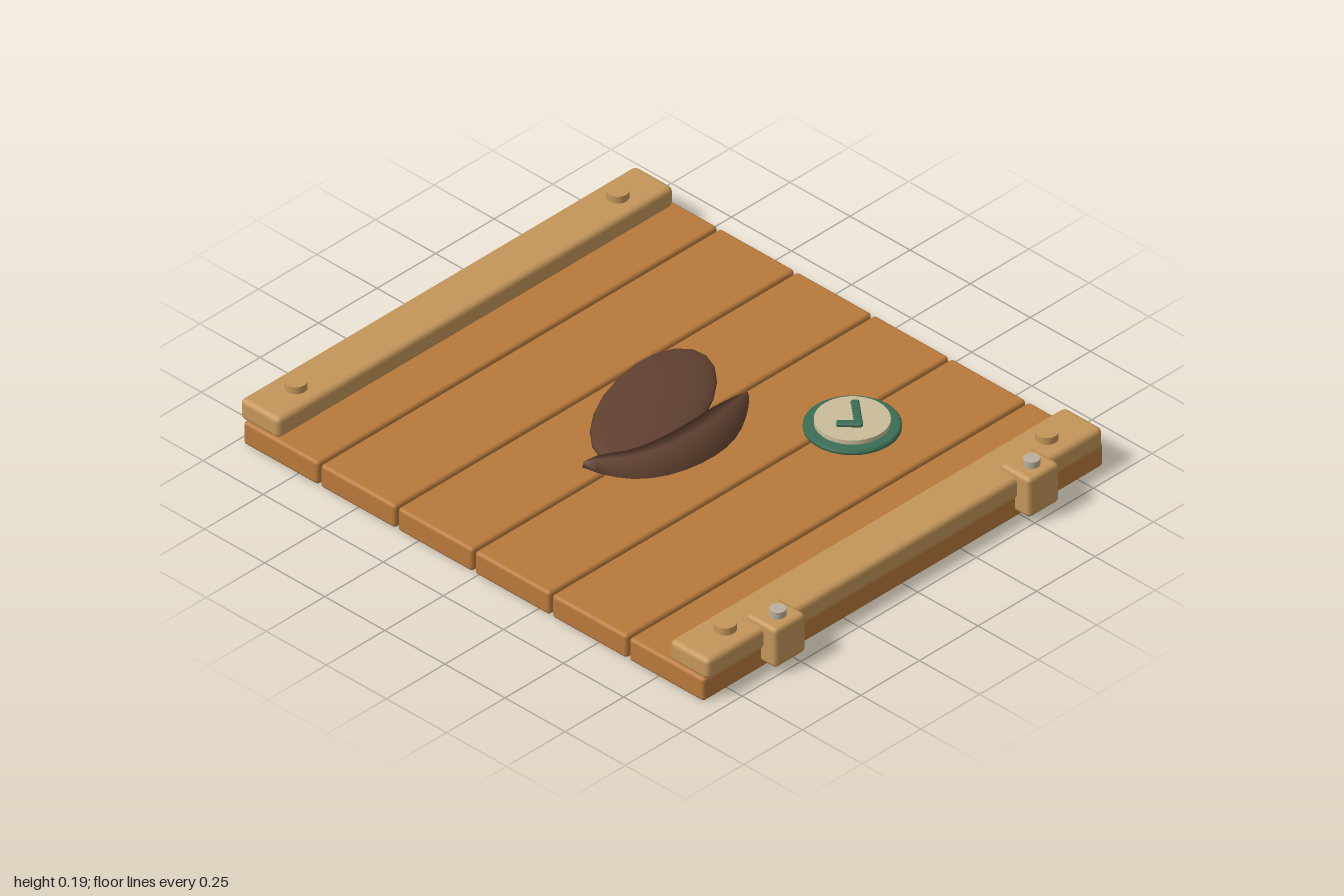
import * as THREE from 'three';
import { RoundedBoxGeometry } from 'three/addons/geometries/RoundedBoxGeometry.js';

const paint = (name, color) => {
  const m = new THREE.MeshStandardMaterial({ color });
  m.name = name;
  return m;
};

export function createModel() {
  const model = new THREE.Group();
  model.name = 'plankBoard';

  const plankWood = paint('plank wood', 0xb8793b);
  const battenWood = paint('batten wood', 0xc4965a);
  const metal = paint('pale metal', 0xb9b09c);
  const green = paint('badge green', 0x3a6e54);
  const cream = paint('badge cream', 0xcbbd9c);
  const brown = paint('dark brown', 0x5f4030);

  const add = (name, geometry, material, x = 0, y = 0, z = 0, parent = model) => {
    const mesh = new THREE.Mesh(geometry, material);
    mesh.name = name;
    mesh.position.set(x, y, z);
    parent.add(mesh);
    return mesh;
  };
  const box = (w, h, d, r) => new RoundedBoxGeometry(w, h, d, 2, r);
  const disc = (r, h, n = 24) => new THREE.CylinderGeometry(r, r, h, n);

  // Six planks with narrow open gaps
  const plank = box(1.71, 0.083, 0.311, 0.012);
  for (let i = 0; i < 6; i++) add('plank', plank, plankWood, 0, 0.0415, 0.785 - i * 0.321);

  // Battens across both ends, each with two pegs
  const batten = box(1.69, 0.075, 0.163, 0.018);
  for (const z of [0.868, -0.918]) {
    add('batten', batten, battenWood, 0, 0.1115, z);
    for (const s of [-1, 1]) add('peg', disc(0.035, 0.04), battenWood, s * 0.687, 0.154, z);
  }

  // Front clips with metal pins
  for (const s of [-1, 1]) {
    add('clip', box(0.132, 0.142, 0.126, 0.015), battenWood, s * 0.542, 0.095, 0.937);
    add('clipPin', disc(0.026, 0.03), metal, s * 0.542, 0.174, 0.945);
  }

  // Flat oval pod
  const pod = add('pod', new THREE.SphereGeometry(1, 20, 12), brown, 0.01, 0.123, -0.11);
  pod.scale.set(0.321, 0.03, 0.161);
  pod.rotation.y = 0.4;

  // Folded flap: four-point sections lofted between an outer and an inner curve
  const curve = (pts) => new THREE.CatmullRomCurve3(pts.map(([x, z]) => new THREE.Vector3(x, 0, z)));
  const outer = curve([[-0.365, -0.04], [-0.35, 0.03], [-0.3, 0.115], [-0.22, 0.17], [-0.12, 0.198],
    [0, 0.198], [0.1, 0.165], [0.2, 0.1], [0.245, 0.06]]);
  const inner = curve([[-0.35, -0.048], [-0.3, -0.035], [-0.22, 0.02], [-0.12, 0.045], [0, 0.05],
    [0.1, 0.042], [0.2, 0.043], [0.243, 0.05]]);
  const stations = 14, positions = [], index = [];
  for (let i = 0; i <= stations; i++) {
    const t = i / stations, swell = Math.sin(Math.PI * t);
    const o = outer.getPointAt(t), n = inner.getPointAt(t);
    const ridge = o.clone().lerp(n, 0.62), belly = o.clone().lerp(n, 0.5);
    positions.push(
      o.x, 0.128, o.z,
      ridge.x, 0.142 + 0.024 * swell, ridge.z,
      n.x, 0.138 + 0.016 * swell, n.z,
      belly.x, 0.12, belly.z);
    if (i < stations) {
      for (let k = 0; k < 4; k++) {
        const a = i * 4 + k, b = i * 4 + (k + 1) % 4;
        index.push(a, a + 4, b, b, a + 4, b + 4);
      }
    }
  }
  const e = stations * 4;
  index.push(0, 1, 2, 0, 2, 3, e, e + 2, e + 1, e, e + 3, e + 2);
  const flap = new THREE.BufferGeometry();
  flap.setAttribute('position', new THREE.Float32BufferAttribute(positions, 3));
  flap.setIndex(index);
  flap.computeVertexNormals();
  add('podFlap', flap, brown);

  // Round badge: green base, cream face and tick
  const badge = new THREE.Group();
  badge.name = 'badge';
  badge.position.set(0.37, 0, 0.367);
  model.add(badge);
  const rim = [[0, 0.1], [0.14, 0.1], [0.148, 0.105], [0.148, 0.114], [0.14, 0.12], [0, 0.12]];
  add('badgeBase', new THREE.LatheGeometry(rim.map(([x, y]) => new THREE.Vector2(x, y)), 40), green, 0, 0, 0, badge);
  add('badgeFace', disc(0.115, 0.016, 40), cream, 0, 0.127, 0, badge);

  // Tick made from two rounded strokes
  const ticks = [[-0.05, -0.003, -0.012, 0.038], [-0.012, 0.038, 0.058, -0.045]];
  for (const [x1, z1, x2, z2] of ticks) {
    const stroke = add('tickStroke', box(Math.hypot(x2 - x1, z2 - z1) + 0.022, 0.014, 0.026, 0.006),
      green, (x1 + x2) / 2, 0.14, (z1 + z2) / 2, badge);
    stroke.rotation.y = -Math.atan2(z2 - z1, x2 - x1);
  }

  return model;
}
